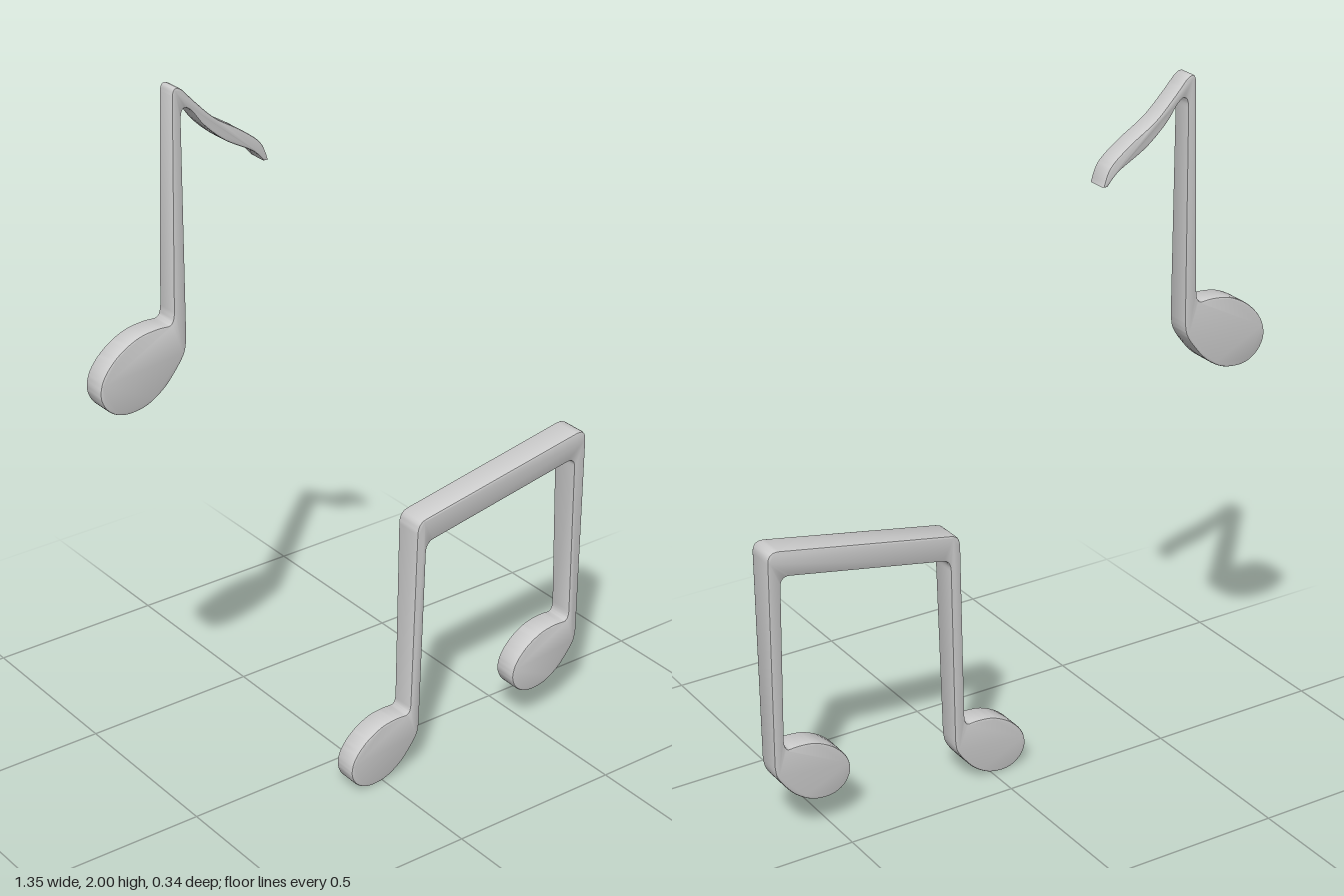
import * as THREE from 'three';
import { toCreasedNormals } from 'three/addons/utils/BufferGeometryUtils.js';

const vec = ([x, y]) => new THREE.Vector2(x, y);

// Note head: from the inner foot of the stem, round the oval, to the outer side of the stem
const HEAD = [
  [0.18, 0.182], [0.147, 0.183], [0.1, 0.175], [0.05, 0.148], [0.012, 0.107], [0, 0.065],
  [0.012, 0.03], [0.04, 0.007], [0.075, 0], [0.12, 0.008], [0.165, 0.036], [0.2, 0.075],
  [0.221, 0.108], [0.227, 0.14],
];

function addHead(shape, x, y, s) {
  const at = ([px, py]) => [x + px * s, y + py * s];
  shape.lineTo(...at([0.196, 0.21]));
  shape.quadraticCurveTo(...at([0.195, 0.181]), ...at(HEAD[0]));
  shape.splineThru(HEAD.slice(1).map((p) => vec(at(p))));
}

// Straight run to a corner, then a rounded turn
function addCorner(shape, from, corner, to) {
  shape.lineTo(...from);
  shape.quadraticCurveTo(...corner, ...to);
}

// Bevelled slab whose half thickness changes evenly with height
function slab(name, shape, material, { z, y0, half0, y1, half1, bevel }) {
  const depth = 2 - 0.3;
  let geo = new THREE.ExtrudeGeometry(shape, {
    depth, curveSegments: 6, steps: 1, bevelEnabled: true, bevelSegments: 2,
    bevelSize: bevel, bevelOffset: -bevel, bevelThickness: 0.15,
  });
  geo.translate(0, 0, -depth / 2);
  const pos = geo.attributes.position;
  for (let i = 0; i < pos.count; i++) {
    const t = (pos.getY(i) - y0) / (y1 - y0);
    pos.setZ(i, z + pos.getZ(i) * THREE.MathUtils.lerp(half0, half1, t));
  }
  geo = toCreasedNormals(geo, 0.6);
  const mesh = new THREE.Mesh(geo, material);
  mesh.name = name;
  return mesh;
}

// Two heads and stems joined by a sloping beam
function beamedOutline() {
  const s = new THREE.Shape();
  s.moveTo(0.101, 0.73);
  addHead(s, -0.107, 0, 1);
  addCorner(s, [0.132, 0.665], [0.132, 0.694], [0.155, 0.699]);
  addCorner(s, [0.61, 0.784], [0.637, 0.789], [0.637, 0.76]);
  addHead(s, 0.446, 0.097, 1);
  addCorner(s, [0.674, 0.835], [0.674, 0.869], [0.64, 0.864]);
  addCorner(s, [0.13, 0.769], [0.102, 0.764], [0.101, 0.73]);
  return s;
}

// One head and stem with a wavy flag
function flaggedOutline() {
  const s = new THREE.Shape();
  s.moveTo(-0.44, 1.98);
  addHead(s, -0.677, 1.182, 1.13);
  addCorner(s, [-0.416, 1.915], [-0.415, 1.945], [-0.4, 1.942]);
  s.splineThru([[-0.383, 1.928], [-0.35, 1.885], [-0.29, 1.833], [-0.21, 1.787], [-0.176, 1.753]].map(vec));
  s.lineTo(-0.163, 1.753);
  s.splineThru([[-0.185, 1.803], [-0.243, 1.85], [-0.317, 1.897], [-0.37, 1.947], [-0.408, 1.988]].map(vec));
  s.quadraticCurveTo(-0.436, 2.012, -0.44, 1.98);
  return s;
}

export function createModel() {
  const grey = new THREE.MeshStandardMaterial({ color: 0xcccccc });
  grey.name = 'light grey';

  const group = new THREE.Group();
  group.name = 'musicNotes';
  group.add(
    slab('beamedNotes', beamedOutline(), grey,
      { z: 0.129, y0: 0, half0: 0.033, y1: 0.865, half1: 0.043, bevel: 0.006 }),
    slab('flaggedNote', flaggedOutline(), grey,
      { z: -0.137, y0: 1.18, half0: 0.035, y1: 2, half1: 0.028, bevel: 0.005 }),
  );
  return group;
}
